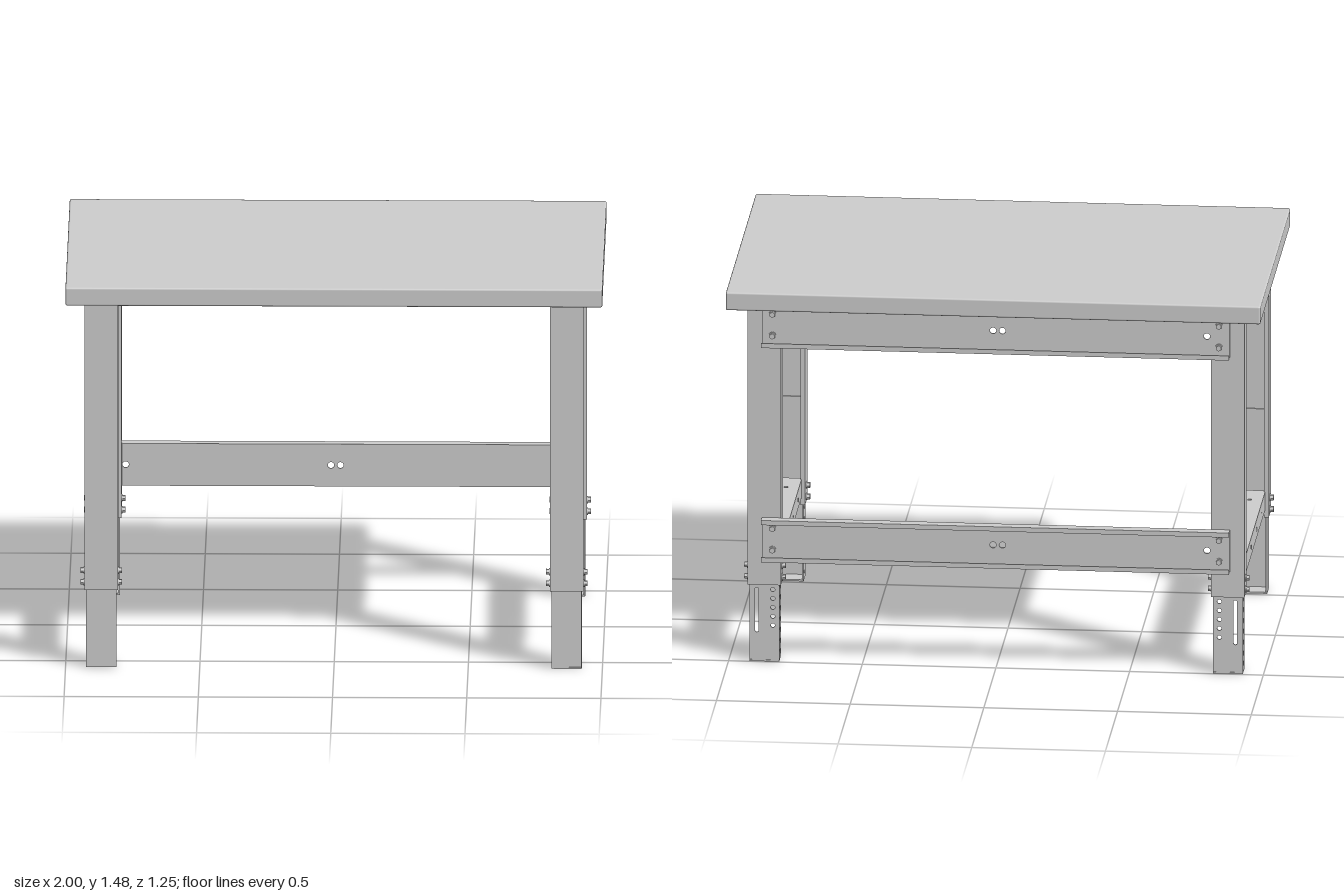
import * as THREE from 'three';
import { RoundedBoxGeometry } from 'three/addons/geometries/RoundedBoxGeometry.js';

const steel = new THREE.MeshStandardMaterial({ color: 0xcccccc });
const T = 0.006; // sheet thickness

function mesh(name, geometry, parent) {
  const m = new THREE.Mesh(geometry, steel);
  m.name = name;
  parent.add(m);
  return m;
}

// Flat sheet in XY with holes [x, y, radius, extra slot height]
function plate(w, h, holes = []) {
  const s = new THREE.Shape();
  s.moveTo(-w / 2, -h / 2).lineTo(w / 2, -h / 2).lineTo(w / 2, h / 2).lineTo(-w / 2, h / 2).closePath();
  for (const [x, y, r, slot = 0] of holes) {
    const p = new THREE.Path();
    p.absarc(x, y + slot / 2, r, 0, Math.PI, false);
    p.absarc(x, y - slot / 2, r, Math.PI, Math.PI * 2, false);
    p.closePath();
    s.holes.push(p);
  }
  return new THREE.ExtrudeGeometry(s, { depth: T, bevelEnabled: false, curveSegments: 8 }).translate(0, 0, -T / 2);
}

// Channel running along y: web on the +z side, open towards -z, optional return lips
function channel(name, { w, d, len, lip = 0, webHoles, flangeHoles }) {
  const g = new THREE.Group();
  g.name = name;
  mesh('web', plate(w, len, webHoles), g).position.z = d / 2 - T / 2;
  for (const s of [-1, 1]) {
    const flange = mesh('flange', plate(d - T, len, flangeHoles).rotateY(Math.PI / 2), g);
    flange.position.set(s * (w / 2 - T / 2), 0, -T / 2);
    if (lip) mesh('lip', plate(lip, len), g).position.set(s * (w / 2 - T - lip / 2), 0, -d / 2 + T / 2);
  }
  return g;
}

// Hex bolt with washer, head pointing along +y before it is turned
function bolt(parent, position, direction) {
  const g = new THREE.Group();
  g.name = 'bolt';
  mesh('washer', new THREE.CylinderGeometry(0.014, 0.014, 0.004, 16), g).position.y = 0.002;
  mesh('head', new THREE.CylinderGeometry(0.011, 0.011, 0.012, 6).toNonIndexed(), g).position.y = 0.009;
  g.children[1].geometry.computeVertexNormals();
  g.position.set(...position);
  g.quaternion.setFromUnitVectors(new THREE.Vector3(0, 1, 0), new THREE.Vector3(...direction));
  parent.add(g);
}

function leg(side, front) {
  const g = new THREE.Group();
  g.name = (front ? 'front' : 'rear') + 'Leg';
  const x = side * 0.867, z = front ? 0.551 : -0.457;
  const turn = front ? 0 : Math.PI;

  // Outer post
  const post = channel('post', { w: 0.125, d: 0.088, len: 1.105, lip: 0.012 });
  post.position.set(x, 0.8525, z);
  post.rotation.y = turn;

  // Telescoping foot with adjustment holes; rear webs also carry a slot
  const footLen = 0.7;
  const flangeHoles = [0.03, 0.07, 0.113, 0.155, 0.197, 0.24, 0.282].map(y => [0, y - footLen / 2, 0.009]);
  const webHoles = [];
  if (!front) {
    webHoles.push([-side * 0.028, 0.2 - footLen / 2, 0.007, 0.16]);
    for (let i = 0; i < 5; i++) webHoles.push([side * 0.032, 0.14 + i * 0.035 - footLen / 2, 0.008]);
  }
  const foot = channel('foot', { w: 0.112, d: 0.072, len: footLen, webHoles, flangeHoles });
  foot.position.set(x, footLen / 2, z);
  foot.rotation.y = turn;
  g.add(post, foot);
  mesh('footPlate', new THREE.BoxGeometry(0.112, T, 0.075), g).position.set(x, T / 2, z);

  // Height-locking bolts through both flanges
  for (const y of [0.32, 0.365]) {
    for (const s of [-1, 1]) bolt(g, [x + s * 0.0625, y, z], [s, 0, 0]);
  }
  return g;
}

// Side rails: inverted channels between front and rear legs
function sideRail(name, x, y, holed) {
  const mid = 0.0475, len = 0.95;
  const spots = holed ? [0.375, 0.155, -0.065, -0.283].map(z => mid - z) : [];
  const rail = channel(name, {
    w: 0.098, d: 0.07, len, lip: 0.012,
    webHoles: spots.map(v => [0, v - 0.03, 0.008]),
    flangeHoles: spots.map(v => [0, v, 0.009]),
  });
  rail.rotation.x = -Math.PI / 2;
  rail.position.set(x, y, mid);
  return rail;
}

// Rear stretchers: channels opening backwards, bolted to the rear legs
function rearBeam(name, y) {
  const g = new THREE.Group();
  g.name = name;
  const holes = [-0.79, -0.025, 0.01].map(x => [0, -x, 0.012]);
  const beam = channel('beam', { w: 0.163, d: 0.04, len: 1.75, lip: 0.012, webHoles: holes });
  beam.rotation.z = Math.PI / 2;
  beam.position.set(0, y, -0.521);
  g.add(beam);
  for (const x of [-0.835, 0.835]) {
    for (const dy of [-0.042, 0.042]) bolt(g, [x, y + dy, -0.507], [0, 0, -1]);
  }
  return g;
}

export function createModel() {
  const bench = new THREE.Group();
  bench.name = 'workbench';

  mesh('tabletop', new RoundedBoxGeometry(2, 0.07, 1.245, 3, 0.007), bench).position.y = 1.44;

  for (const side of [-1, 1]) {
    bench.add(leg(side, true), leg(side, false));
    bench.add(sideRail('upperSideRail', side * 0.867, 1.37, false));
    bench.add(sideRail('lowerSideRail', side * 0.867, 0.365, true));
  }
  bench.add(rearBeam('upperRearBeam', 1.318), rearBeam('lowerRearBeam', 0.482));
  return bench;
}
